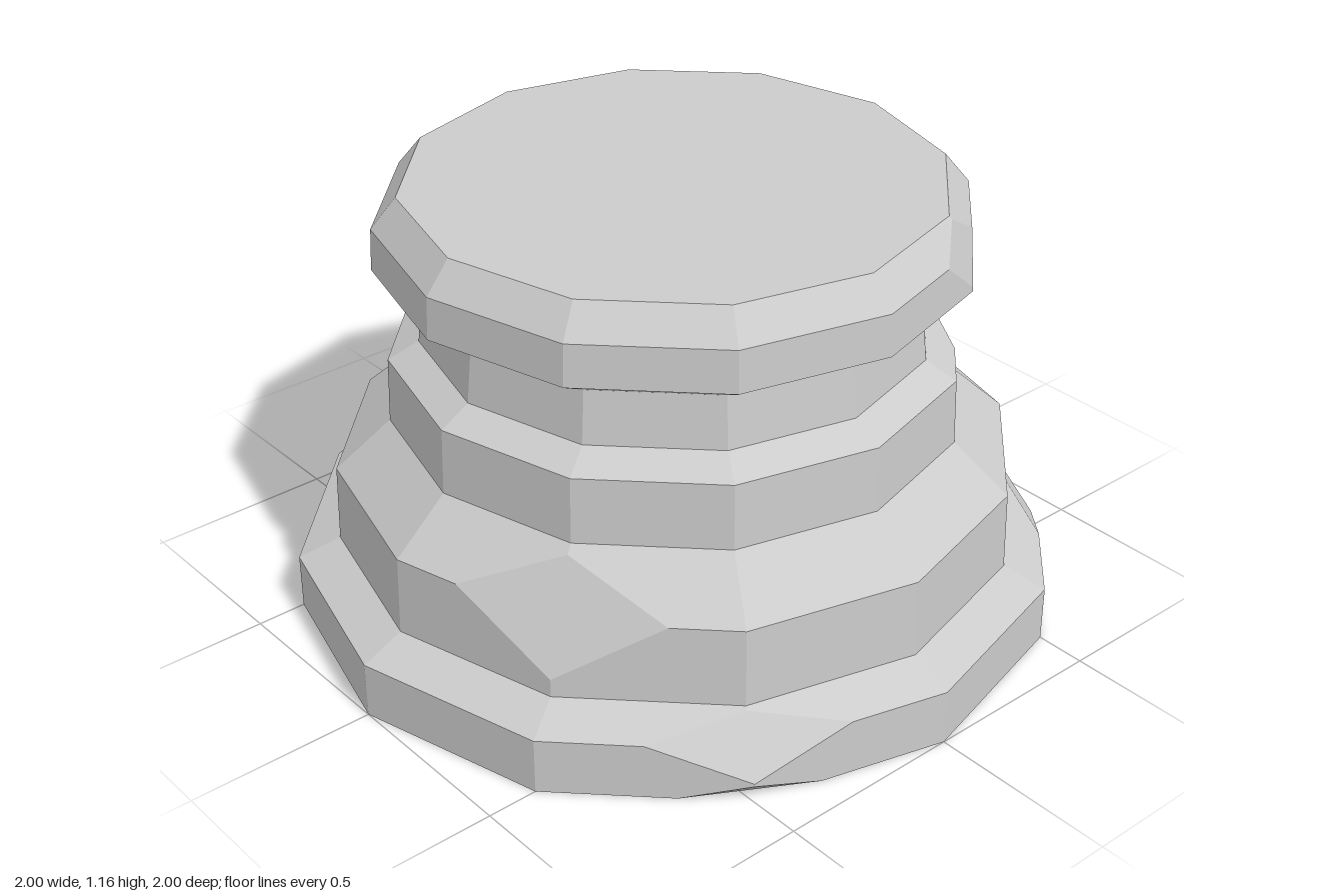
import * as THREE from 'three';

const SIDES = 12;
// radius, height from the underside centre to the top centre
const PROFILE = [[0, 0], [1, 0], [1, 0.15], [0.89, 0.2], [0.885, 0.41], [0.74, 0.54], [0.735, 0.715],
  [0.655, 0.76], [0.64, 0.9], [0.76, 0.97], [0.755, 1.08], [0.69, 1.16], [0, 1.16]];

// chipped corners: profile index, azimuth (from +x towards +z), tilt, depth
const CHIPS = [
  [2, 30, 35, 0.055], [2, 120, 35, 0.055], [1, 120, -45, 0.033], [1, -30, -40, 0.065],
  [4, 150, 25, 0.065], [4, -60, 25, 0.065], [4, -6, 25, 0.045],
  [6, 30, 20, 0.052], [10, 60, 20, 0.03], [10, -60, 20, 0.025],
];

function ringPoint([r, y], i) {
  const a = (i % SIDES) / SIDES * Math.PI * 2;
  return new THREE.Vector3(r * Math.cos(a), y, r * Math.sin(a));
}

// keep the part of a polygon behind the plane, collecting the cut points
function clip(poly, plane, cuts) {
  const out = [];
  poly.forEach((p, i) => {
    const q = poly[(i + 1) % poly.length];
    const dp = plane.distanceToPoint(p), dq = plane.distanceToPoint(q);
    if (dp <= 0) out.push(p);
    if (dp * dq < 0) {
      const c = p.clone().lerp(q, dp / (dp - dq));
      out.push(c);
      if (!cuts.some(o => o.distanceTo(c) < 1e-5)) cuts.push(c);
    }
  });
  return out;
}

// slice one corner off the two bands that meet there and close the cut
function chipCorner(bands, [ring, azimuth, tilt, depth]) {
  const az = THREE.MathUtils.degToRad(azimuth), t = THREE.MathUtils.degToRad(tilt);
  const n = new THREE.Vector3(Math.cos(t) * Math.cos(az), Math.sin(t), Math.cos(t) * Math.sin(az));
  const corner = ringPoint(PROFILE[ring], Math.round(azimuth / 30) + SIDES);
  const plane = new THREE.Plane().setFromNormalAndCoplanarPoint(n, corner.addScaledVector(n, -depth));
  const cuts = [];
  for (const b of [ring - 1, ring])
    bands[b] = bands[b].map(p => clip(p, plane, cuts)).filter(p => p.length > 2);
  if (cuts.length < 3) return;
  const mid = cuts.reduce((s, c) => s.add(c), new THREE.Vector3()).divideScalar(cuts.length);
  const u = cuts[0].clone().sub(mid).normalize(), v = n.clone().cross(u);
  const angle = c => Math.atan2(c.clone().sub(mid).dot(v), c.clone().sub(mid).dot(u));
  bands[ring].push(cuts.sort((a, b) => angle(a) - angle(b)));
}

export function createModel() {
  // turned twelve-sided body, one band of faces per profile step
  const bands = PROFILE.slice(1).map((hi, j) => Array.from({ length: SIDES }, (_, i) => [
    ringPoint(PROFILE[j], i + 1), ringPoint(PROFILE[j], i), ringPoint(hi, i), ringPoint(hi, i + 1)]));

  CHIPS.forEach(chip => chipCorner(bands, chip));

  // fan each polygon into triangles
  const points = [];
  const tri = new THREE.Triangle();
  for (const poly of bands.flat())
    for (let k = 1; k < poly.length - 1; k++) {
      tri.set(poly[0], poly[k], poly[k + 1]);
      if (tri.getArea() > 1e-8) points.push(tri.a.clone(), tri.b.clone(), tri.c.clone());
    }
  const geometry = new THREE.BufferGeometry().setFromPoints(points);
  geometry.computeVertexNormals();

  const pedestal = new THREE.Mesh(geometry,
    new THREE.MeshStandardMaterial({ color: 0xcccccc, flatShading: true }));
  pedestal.name = 'chippedStonePedestal';
  const group = new THREE.Group();
  group.name = 'pedestal';
  group.add(pedestal);
  return group;
}
